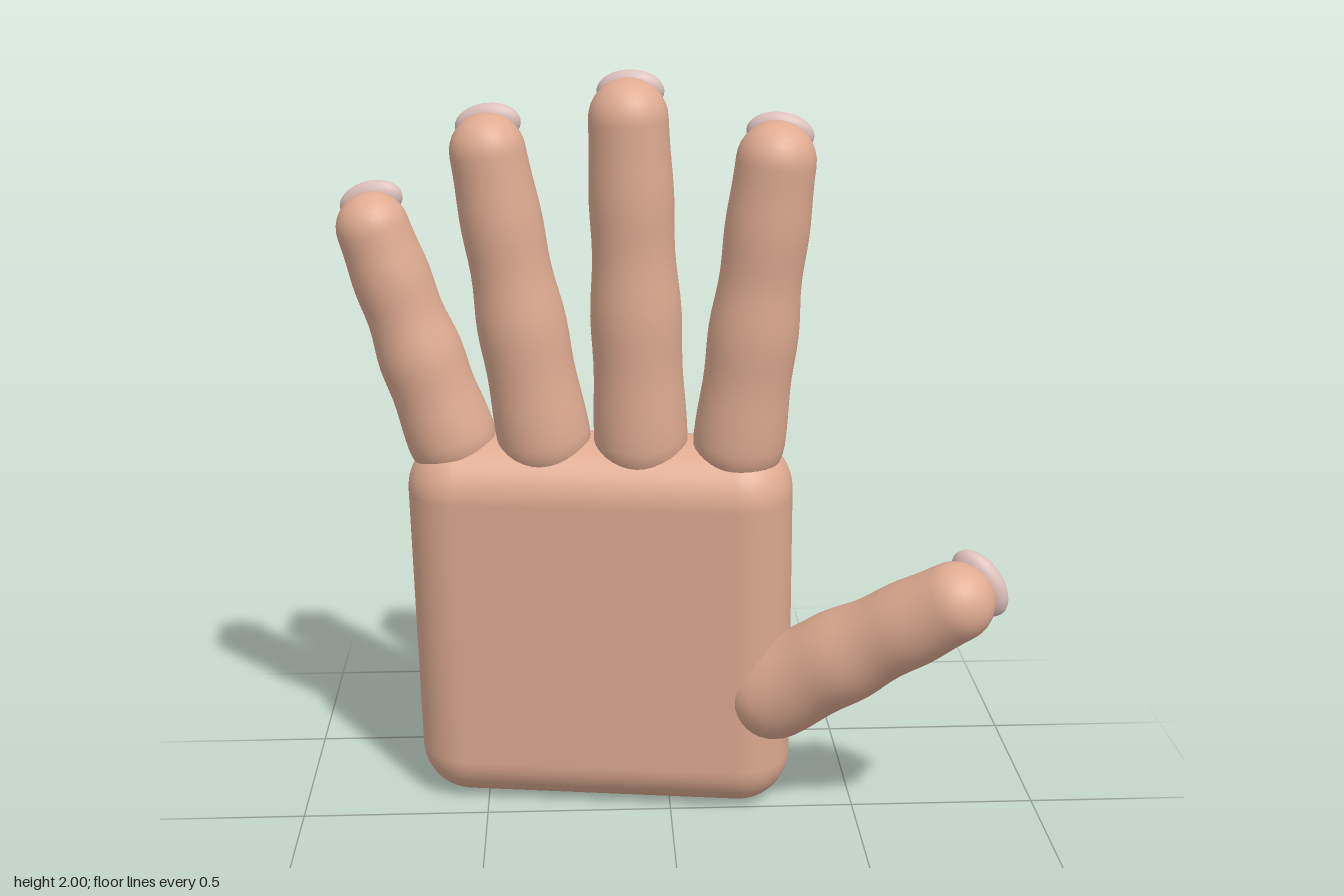
import * as THREE from 'three';
import { RoundedBoxGeometry } from 'three/addons/geometries/RoundedBoxGeometry.js';

const V = (x, y, z) => new THREE.Vector3(x, y, z);

// Round-ended digit along +y, with slight swellings at the joints
function digitGeometry(length, r0, r1) {
  const pts = [];
  for (let i = 0; i < 8; i++) {
    const a = (i / 8) * Math.PI / 2;
    pts.push(new THREE.Vector2(r0 * Math.sin(a), -r0 * Math.cos(a)));
  }
  for (let i = 0; i <= 20; i++) {
    const t = i / 20;
    const bump = 0.004 * Math.cos(t * Math.PI * 5) * Math.sin(t * Math.PI);
    pts.push(new THREE.Vector2(r0 + (r1 - r0) * t + bump, length * t));
  }
  for (let i = 1; i <= 8; i++) {
    const a = (i / 8) * Math.PI / 2;
    pts.push(new THREE.Vector2(Math.max(0, r1 * Math.cos(a)), length + r1 * Math.sin(a)));
  }
  return new THREE.LatheGeometry(pts, 32);
}

export function createModel() {
  const hand = new THREE.Group();
  hand.name = 'hand';
  const skin = new THREE.MeshStandardMaterial({ color: 0xe0ac92 });
  skin.name = 'skin';
  const nailColour = new THREE.MeshStandardMaterial({ color: 0xdcbfbb });
  nailColour.name = 'nail';

  // Palm: rounded slab, turned and leaning slightly forward
  const palm = new THREE.Mesh(new RoundedBoxGeometry(1.02, 1.045, 0.32, 8, 0.14), skin);
  palm.name = 'palm';
  palm.position.set(-0.178, 0.523, -0.122);
  palm.rotation.set(0.087, -0.14, 0, 'YXZ');
  hand.add(palm);

  // Digits: base centre, tip centre, base and tip radius, direction across the nail
  const across = V(0.99, 0, 0.14);
  const digits = [
    ['indexFinger', V(0.18, 1.05, -0.015), V(0.258, 1.79, 0.07), 0.12, 0.1, across],
    ['middleFinger', V(-0.075, 1.05, -0.055), V(-0.105, 1.89, 0.022), 0.123, 0.1, across],
    ['ringFinger', V(-0.33, 1.05, -0.09), V(-0.456, 1.803, -0.038), 0.123, 0.096, across],
    ['littleFinger', V(-0.575, 1.04, -0.13), V(-0.755, 1.6, -0.1), 0.118, 0.094, across],
    ['thumb', V(0.28, 0.35, -0.005), V(0.71, 0.695, 0.265), 0.137, 0.104, V(0.55, -0.8, 0.2)],
  ];

  for (const [name, base, tip, r0, r1, side] of digits) {
    const digit = new THREE.Group();
    digit.name = name;
    const along = tip.clone().sub(base);
    const length = along.length();
    along.normalize();
    const wide = side.clone().addScaledVector(along, -side.dot(along)).normalize();
    const front = wide.clone().cross(along);
    digit.quaternion.setFromRotationMatrix(new THREE.Matrix4().makeBasis(wide, along, front));
    digit.position.copy(base);

    const flesh = new THREE.Mesh(digitGeometry(length, r0, r1), skin);
    flesh.name = name + 'Flesh';
    digit.add(flesh);

    // Nail: flattened oval on the back of the tip
    const nail = new THREE.Mesh(new THREE.SphereGeometry(1, 28, 18), nailColour);
    nail.name = name + 'Nail';
    const s = name === 'thumb' ? 1.2 : 1;
    nail.scale.set(0.085 * (s > 1 ? 1.15 : 1), 0.054 * s, 0.032 * s);
    nail.position.set(0, length + 0.055, -0.065);
    nail.rotation.x = 0.12;
    digit.add(nail);
    hand.add(digit);
  }
  return hand;
}
